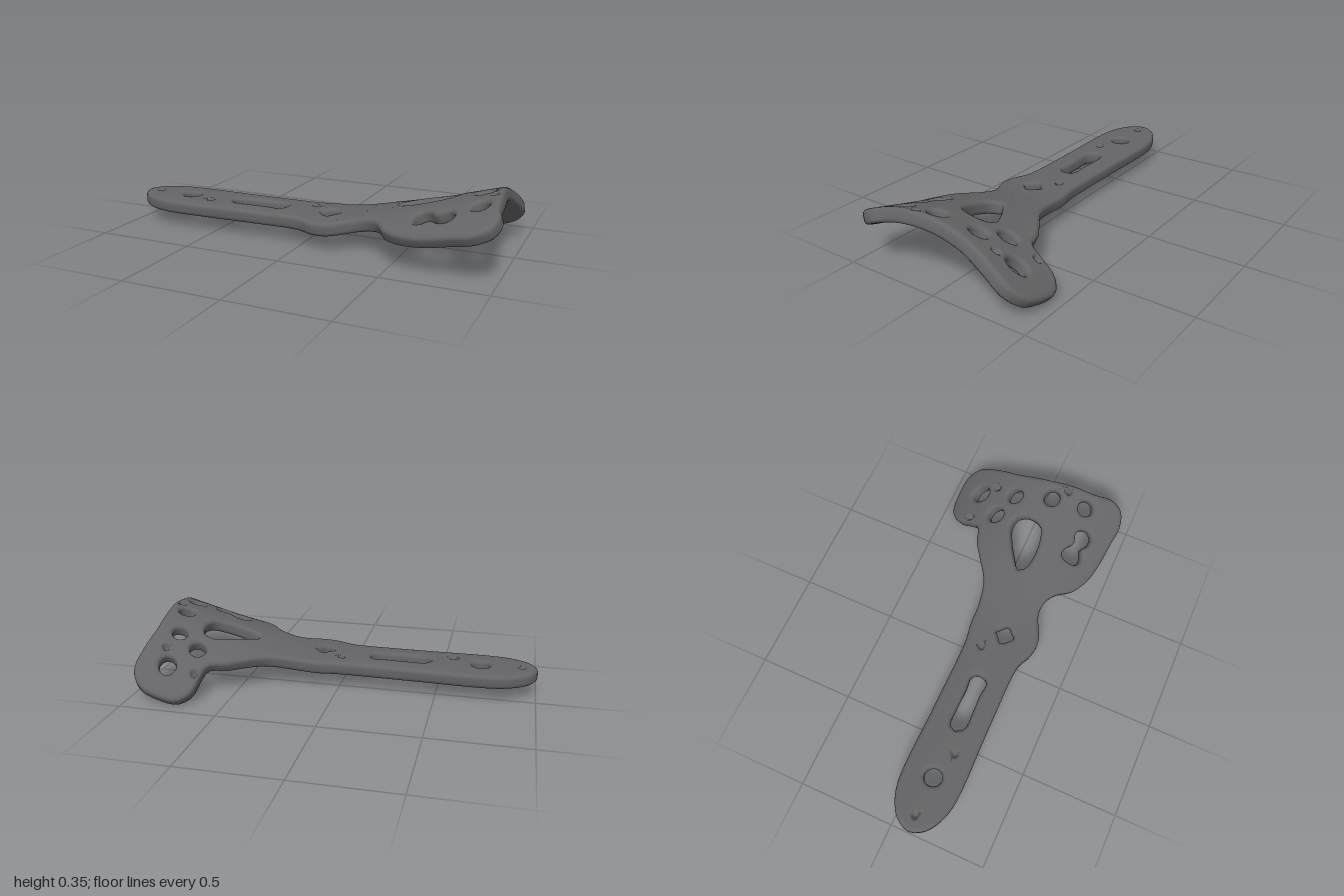
import * as THREE from 'three';
import { mergeVertices } from 'three/addons/utils/BufferGeometryUtils.js';

const THICK = 0.07, BEVEL = 0.02;

// Smooth closed counter-clockwise loop through [x, z] points, in shape space (y = -z)
function loop(points, count) {
  const curve = new THREE.CatmullRomCurve3(
    points.map(([x, z]) => new THREE.Vector3(x, -z, 0)), true, 'centripetal');
  const flat = curve.getSpacedPoints(count).slice(0, -1).map(p => new THREE.Vector2(p.x, p.y));
  return THREE.ShapeUtils.isClockWise(flat) ? flat.reverse() : flat;
}

function ring(x, z, r, n = 8) {
  return Array.from({ length: n }, (_, i) => {
    const a = i / n * Math.PI * 2;
    return [x + r * Math.cos(a), z + r * Math.sin(a)];
  });
}

const outline = [
  [-1, 0.1], [-0.97, 0.03], [-0.9, -0.02], [-0.8, -0.05], [-0.4, -0.05], [0, -0.05],
  [0.1, -0.065], [0.22, -0.07], [0.35, -0.1], [0.46, -0.17], [0.54, -0.22], [0.625, -0.25],
  [0.645, -0.32], [0.66, -0.39], [0.72, -0.44], [0.82, -0.45], [0.92, -0.435], [0.97, -0.38],
  [0.965, -0.27], [0.95, -0.15], [0.955, 0], [0.97, 0.15], [0.98, 0.27], [1, 0.35],
  [0.98, 0.415], [0.9, 0.445], [0.8, 0.435], [0.65, 0.42], [0.55, 0.395], [0.47, 0.35],
  [0.42, 0.285], [0.37, 0.25], [0.29, 0.24], [0.22, 0.27], [0.17, 0.293], [0.11, 0.3],
  [0.05, 0.285], [0, 0.26], [-0.06, 0.25], [-0.4, 0.25], [-0.8, 0.25], [-0.9, 0.22], [-0.97, 0.17],
];

const holes = [
  // round screw holes
  ...[[-0.715, 0.1, 0.046], [0.71, -0.18, 0.041], [0.82, -0.31, 0.043], [0.83, -0.12, 0.039],
    [0.87, 0.065, 0.042], [0.89, 0.245, 0.039]].map(h => ring(...h)),
  // diamond hole
  [[0.06, 0.12], [0.09, 0.095], [0.11, 0.075], [0.135, 0.095], [0.16, 0.125], [0.135, 0.155],
    [0.115, 0.175], [0.085, 0.155]],
  // long slot
  [[-0.46, 0.1], [-0.44, 0.065], [-0.34, 0.06], [-0.22, 0.062], [-0.185, 0.055], [-0.15, 0.07],
    [-0.143, 0.1], [-0.155, 0.135], [-0.185, 0.148], [-0.22, 0.14], [-0.34, 0.142], [-0.43, 0.14]],
  // large teardrop window
  [[0.46, 0.05], [0.52, 0], [0.6, -0.05], [0.67, -0.078], [0.72, -0.06], [0.735, 0],
    [0.71, 0.07], [0.65, 0.093], [0.57, 0.1], [0.49, 0.085]],
  // double hole
  [[0.6, 0.27], [0.62, 0.225], [0.66, 0.232], [0.7, 0.262], [0.76, 0.25], [0.79, 0.29],
    [0.77, 0.332], [0.725, 0.33], [0.69, 0.305], [0.635, 0.325], [0.605, 0.31]],
];

// Small pin dimples: x, z
const dimples = [[-0.92, 0.1], [-0.57, 0.15], [0, 0.04], [0.68, -0.31], [0.86, -0.23], [0.93, 0.135]];

// Height of the middle surface: the head rises along x and arches across z
function midHeight(x, z) {
  const t = x - 0.22;
  const spine = 0.105 + 0.14 * (t + Math.sqrt(t * t + 0.015));
  const arch = 0.35 + 0.65 * THREE.MathUtils.smoothstep(x, 0.1, 0.75);
  return spine - arch * 0.81 * (z - 0.1) ** 2;
}

// Edge length relative to the longest allowed there (finer at the dimples)
function excess(a, b) {
  const x = (a.x + b.x) / 2, z = (a.z + b.z) / 2;
  const near = dimples.some(([dx, dz]) => Math.hypot(x - dx, z - dz) < 0.035);
  return a.distanceTo(b) / (near ? 0.011 : 0.04);
}

// Halve the most oversized edge of every triangle until all edges are short
function subdivide(geometry) {
  const p = geometry.attributes.position, out = [];
  const split = (a, b, c) => {
    const ab = excess(a, b), bc = excess(b, c), ca = excess(c, a);
    if (Math.max(ab, bc, ca) <= 1) {
      for (const v of [a, b, c]) out.push(v.x, v.y, v.z);
      return;
    }
    if (bc > ab && bc >= ca) return split(b, c, a);
    if (ca > ab && ca > bc) return split(c, a, b);
    const m = a.clone().add(b).multiplyScalar(0.5);
    split(a, m, c);
    split(m, b, c);
  };
  const at = i => new THREE.Vector3().fromBufferAttribute(p, i);
  for (let i = 0; i < p.count; i += 3) split(at(i), at(i + 1), at(i + 2));
  const fine = new THREE.BufferGeometry();
  fine.setAttribute('position', new THREE.Float32BufferAttribute(out, 3));
  return mergeVertices(fine, 1e-5);
}

// Bend the flat plate onto the curved surface and press in the dimples
function bend(geometry) {
  const p = geometry.attributes.position, n = new THREE.Vector3(), e = 0.002;
  for (let i = 0; i < p.count; i++) {
    const x = p.getX(i), z = p.getZ(i);
    let h = p.getY(i) - THICK / 2;
    for (const [dx, dz] of dimples) {
      h *= 1 - 0.85 * (1 - THREE.MathUtils.smoothstep(Math.hypot(x - dx, z - dz), 0.004, 0.024));
    }
    n.set((midHeight(x - e, z) - midHeight(x + e, z)) / (2 * e), 1,
      (midHeight(x, z - e) - midHeight(x, z + e)) / (2 * e)).normalize();
    p.setXYZ(i, x + n.x * h, midHeight(x, z) + n.y * h, z + n.z * h);
  }
}

export function createModel() {
  const group = new THREE.Group();
  group.name = 'bonePlate';
  const steel = new THREE.MeshStandardMaterial({ color: 0x646466 });
  steel.name = 'dark grey metal';

  // Flat plate with rounded rims
  const shape = new THREE.Shape(loop(outline, 180));
  for (const h of holes) shape.holes.push(new THREE.Path(loop(h, 24)));
  const flat = new THREE.ExtrudeGeometry(shape, {
    depth: THICK - 2 * BEVEL, bevelEnabled: true, bevelThickness: BEVEL,
    bevelSize: BEVEL, bevelOffset: -BEVEL, bevelSegments: 3,
  });
  flat.translate(0, 0, BEVEL);
  flat.rotateX(-Math.PI / 2);

  const plate = subdivide(flat);
  bend(plate);
  plate.computeVertexNormals();

  // Stand on the ground, centred
  plate.computeBoundingBox();
  const { min, max } = plate.boundingBox;
  plate.translate(-(min.x + max.x) / 2, -min.y, -(min.z + max.z) / 2);

  const mesh = new THREE.Mesh(plate, steel);
  mesh.name = 'plate';
  group.add(mesh);
  return group;
}
